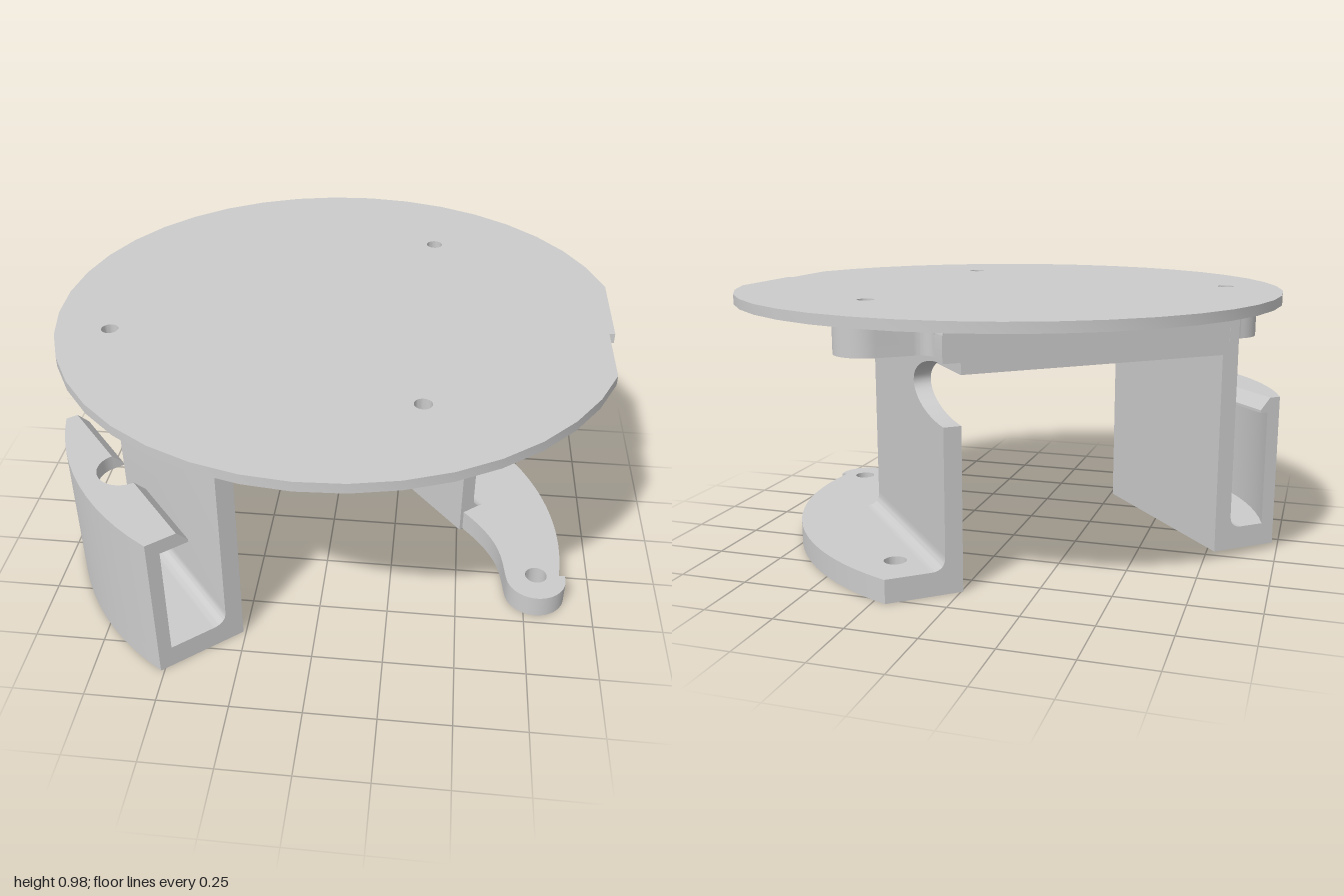
import * as THREE from 'three';
import { toCreasedNormals } from 'three/addons/utils/BufferGeometryUtils.js';

const mat = new THREE.MeshStandardMaterial({ color: 0xcccccc });

function add(parent, name, geo) {
  const mesh = new THREE.Mesh(toCreasedNormals(geo, 0.5), mat);
  mesh.name = name;
  parent.add(mesh);
  return mesh;
}

// Plan outline (x, z) raised between two heights
function plan(shape, y0, y1) {
  const g = new THREE.ExtrudeGeometry(shape, { depth: y1 - y0, bevelEnabled: false, curveSegments: 16 });
  return g.rotateX(Math.PI / 2).translate(0, y1, 0);
}

// Side profile (x, y) run between two depths
function profile(shape, z0, z1) {
  const g = new THREE.ExtrudeGeometry(shape, { depth: z1 - z0, bevelEnabled: false, curveSegments: 10 });
  return g.translate(0, 0, z0);
}

function hole(shape, x, y, r) {
  shape.holes.push(new THREE.Path().absarc(x, y, r, 0, Math.PI * 2, true));
}

const poly = (pts) => new THREE.Shape(pts.map((p) => new THREE.Vector2(...p)));

// Bracket limits in its own turned frame
const BACK = -0.47, FRONT = 0.337, MID = -0.07;
const L_OUT = -0.688, L_IN = -0.622, R_IN = 0.385, R_OUT = 0.448;
const FOOT = 0.085, TOP = 0.93;

// Points on the rim circle between the back and front planes
function rim(r, n = 12) {
  const cx = 0.015, cz = 0.013;
  const a0 = Math.asin((BACK - cz) / r), a1 = Math.asin((FRONT - cz) / r);
  return Array.from({ length: n + 1 }, (_, i) => {
    const a = a0 + (a1 - a0) * i / n;
    return [cx - r * Math.cos(a), cz + r * Math.sin(a)];
  });
}

// Screw tab pointing along +x from the wall, with a raised pad on its tip
function screwTab(parent, name, x, z, angle, reach) {
  const tab = new THREE.Group();
  tab.name = name;
  tab.position.set(x, 0, z);
  tab.rotation.y = angle;
  const r = 0.115, f = Math.min(0.06, reach);
  const s = new THREE.Shape();
  s.moveTo(-0.04, -r - f);
  s.lineTo(0, -r - f);
  s.quadraticCurveTo(0, -r, f, -r);
  s.lineTo(reach, -r);
  s.absarc(reach, 0, r, -Math.PI / 2, Math.PI / 2, false);
  s.lineTo(f, r);
  s.quadraticCurveTo(0, r, 0, r + f);
  s.lineTo(-0.04, r + f);
  if (reach > 0.1) {
    const slot = new THREE.Path();
    slot.absarc(reach, 0, 0.04, Math.PI / 2, -Math.PI / 2, true);
    slot.absarc(0.06, 0, 0.04, -Math.PI / 2, Math.PI / 2, true);
    s.holes.push(slot);
  } else hole(s, reach, 0, 0.03);
  add(tab, name + 'Arm', plan(s, 0.8, TOP));
  const pad = new THREE.Shape().absarc(reach, 0, r, 0, Math.PI * 2, false);
  hole(pad, reach, 0, 0.035);
  add(tab, name + 'Pad', plan(pad, TOP, 0.945));
  parent.add(tab);
}

export function createModel() {
  const model = new THREE.Group();
  model.name = 'plateOnBracket';

  // Round top plate with a stepped flat on its left edge
  const disc = [];
  const cut = Math.sqrt(1 - 0.96 ** 2), cut2 = Math.sqrt(1 - 0.94 ** 2);
  const a0 = Math.asin(cut2), a1 = Math.PI * 2 - Math.asin(cut);
  for (let i = 0; i <= 36; i++) {
    const a = a0 + (a1 - a0) * i / 36;
    disc.push([0.02 + Math.cos(a), Math.sin(a)]);
  }
  disc.push([0.98, 0.07], [0.96, 0.07]);
  const plate = poly(disc);
  for (const [x, z] of [[0.34, -0.57], [0.34, 0.57], [-0.76, 0.22]]) hole(plate, x, z, 0.03);
  add(model, 'topPlate', plan(plate, 0.945, 0.98));

  const bracket = new THREE.Group();
  bracket.name = 'bracket';
  bracket.rotation.y = THREE.MathUtils.degToRad(40);
  model.add(bracket);

  // Right leg and bridge in one profile, with rounded shoulders
  const R = 0.06;
  const u = new THREE.Shape();
  u.moveTo(L_IN, 0);
  u.lineTo(L_IN, 0.75);
  u.lineTo(R_IN, 0.75);
  u.lineTo(R_IN, 0.79);
  u.lineTo(R_OUT, 0.79);
  u.lineTo(R_OUT, TOP - R);
  u.absarc(R_OUT - R, TOP - R, R, 0, Math.PI / 2, false);
  u.lineTo(L_OUT + R, TOP);
  u.absarc(L_OUT + R, TOP - R, R, Math.PI / 2, Math.PI, false);
  u.lineTo(L_OUT, FOOT + 0.05);
  u.quadraticCurveTo(L_OUT, FOOT, L_OUT - 0.05, FOOT);
  u.lineTo(L_OUT - 0.05, 0);
  add(bracket, 'rightLegAndBridge', profile(u, BACK, FRONT));

  // Left leg with a half-oval notch in its back edge
  const leg = new THREE.Shape();
  leg.moveTo(-FRONT, 0);
  leg.lineTo(-BACK, 0);
  leg.lineTo(-BACK, 0.58);
  leg.absellipse(-BACK, 0.685, 0.31, 0.105, -Math.PI / 2, -Math.PI * 1.5, true);
  leg.lineTo(-FRONT, 0.79);
  const legGeo = profile(leg, R_IN, R_OUT).rotateY(Math.PI / 2);
  add(bracket, 'leftLeg', legGeo);

  // Fillet between left leg and its foot
  const fil = new THREE.Shape();
  fil.moveTo(R_OUT, FOOT);
  fil.lineTo(R_OUT + 0.05, FOOT);
  fil.quadraticCurveTo(R_OUT, FOOT, R_OUT, FOOT + 0.05);
  add(bracket, 'leftFootFillet', profile(fil, BACK, FRONT));

  // Crescent left foot with two screw holes
  const foot = new THREE.Shape();
  foot.moveTo(R_IN, BACK);
  foot.lineTo(0.66, BACK);
  const ao = Math.asin(0.52 / 1.04), a2 = Math.asin(0.77 / 1.04);
  foot.absarc(-0.24, 0.05, 1.04, -ao, a2, false);
  foot.absarc(0.38, 0.78, 0.11, 0.5, Math.PI * 1.15, false);
  foot.bezierCurveTo(0.33, 0.64, 0.41, 0.58, 0.4, FRONT);
  foot.lineTo(R_IN, FRONT);
  hole(foot, 0.39, 0.77, 0.04);
  hole(foot, 0.575, -0.31, 0.04);
  add(bracket, 'leftFoot', plan(foot, 0, FOOT));

  // Right foot floor, following the rim circle
  const outer = rim(1.02);
  const floor = poly([...outer, [L_OUT, FRONT], [L_OUT, BACK]]);
  hole(floor, -0.81, MID, 0.04);
  add(bracket, 'rightFoot', plan(floor, 0, FOOT));

  // Curved outer wall of the right foot
  add(bracket, 'rimWall', plan(poly([...outer, ...rim(0.974).reverse()]), FOOT, 0.53));

  // Inward lip with a rounded access notch and a sloped edge
  const N = 0.09, edge = -0.84;
  const lip = poly([...outer, [edge, FRONT], [edge, MID + N]]);
  lip.absarc(edge, MID, N, Math.PI / 2, Math.PI * 1.5, false);
  lip.lineTo(edge, BACK);
  add(bracket, 'rimLip', plan(lip, 0.52, 0.575));
  const slope = poly([[edge, 0.52], [-0.8, 0.52], [-0.8, 0.53], [edge, 0.575]]);
  for (const [z0, z1] of [[BACK, MID - N], [MID + N, FRONT]])
    add(bracket, 'lipEdge', profile(slope, z0, z1));

  // Three screw tabs under the plate
  screwTab(bracket, 'frontTab', -0.106, FRONT, -Math.PI / 2, 0.318);
  screwTab(bracket, 'leftTab', R_OUT, -0.218, 0, 0.18);
  screwTab(bracket, 'rightTab', L_OUT, -0.32, Math.PI, 0.036);

  return model;
}
